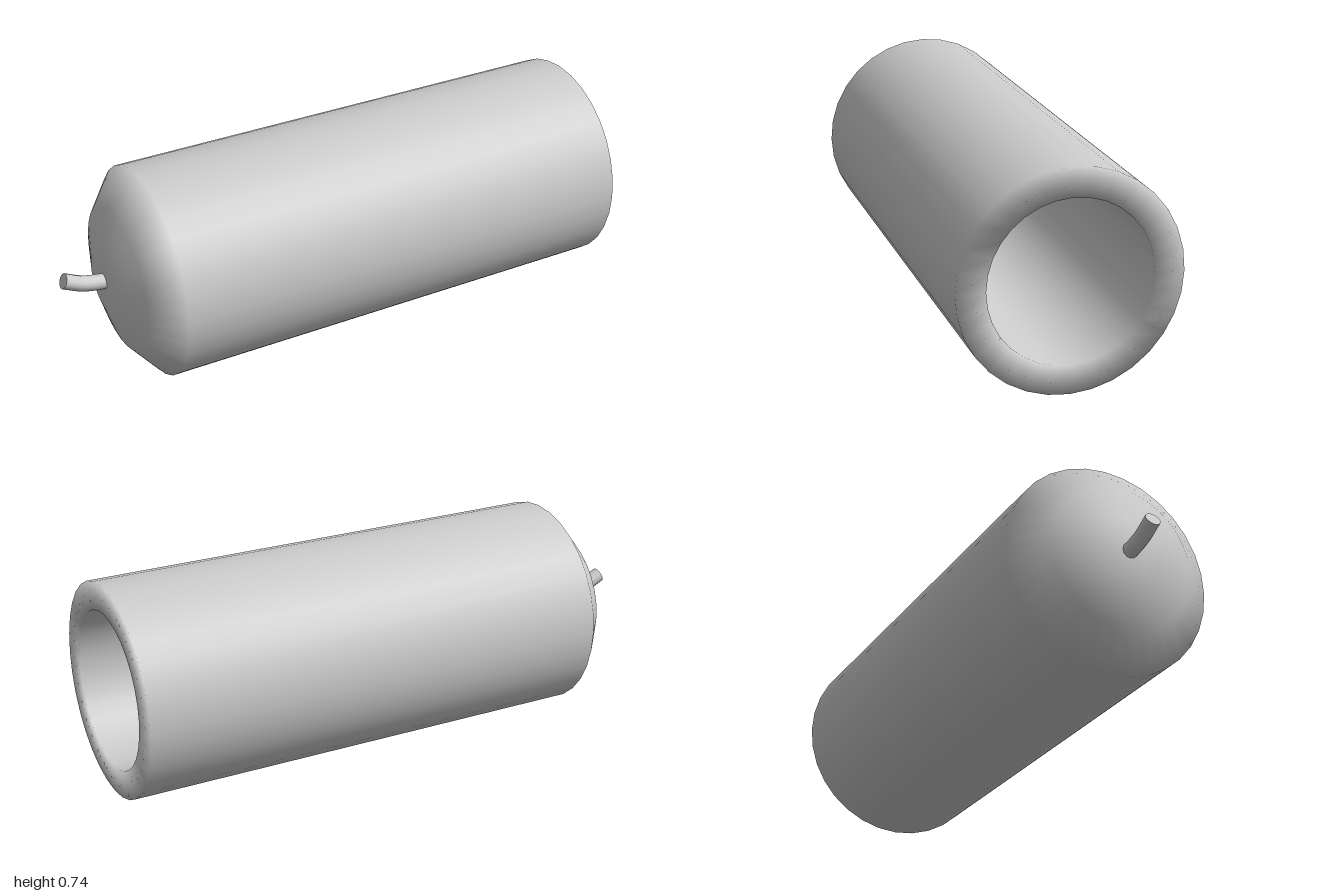
import * as THREE from 'three';

const RADIUS = 0.371;
const material = new THREE.MeshStandardMaterial({ color: 0xcccccc });

function addMesh(parent, name, geometry) {
  const mesh = new THREE.Mesh(geometry, material);
  mesh.name = name;
  parent.add(mesh);
  return mesh;
}

export function createModel() {
  const model = new THREE.Group();
  model.name = 'hollowCylinderWithStem';

  // Hollow shell: [radius, position along x], outside first, then back down the bore
  const profile = [
    [0, -0.845], [0.113, -0.845], [0.255, -0.797], [RADIUS, -0.7],
    [RADIUS, 1], [0.273, 1],
    [0.273, -0.65], [0.19, -0.715], [0.085, -0.745], [0, -0.745],
  ].map(([r, x]) => new THREE.Vector2(r, x));
  const shell = addMesh(model, 'shell', new THREE.LatheGeometry(profile, 32));
  shell.rotation.z = -Math.PI / 2;
  shell.position.y = RADIUS;

  // Thin stem on the closed end, bending upward
  const stem = new THREE.Group();
  stem.name = 'stem';
  model.add(stem);
  const path = new THREE.CatmullRomCurve3([
    new THREE.Vector3(-0.82, 0.373, 0),
    new THREE.Vector3(-0.86, 0.376, 0),
    new THREE.Vector3(-0.92, 0.388, 0),
    new THREE.Vector3(-0.987, 0.418, 0),
  ]);
  addMesh(stem, 'stemTube', new THREE.TubeGeometry(path, 10, 0.027, 12));

  // Flat end of the stem
  const cap = addMesh(stem, 'stemEnd', new THREE.CircleGeometry(0.027, 12));
  const end = path.getPoint(1);
  cap.position.copy(end);
  cap.lookAt(end.clone().add(path.getTangent(1)));

  return model;
}
